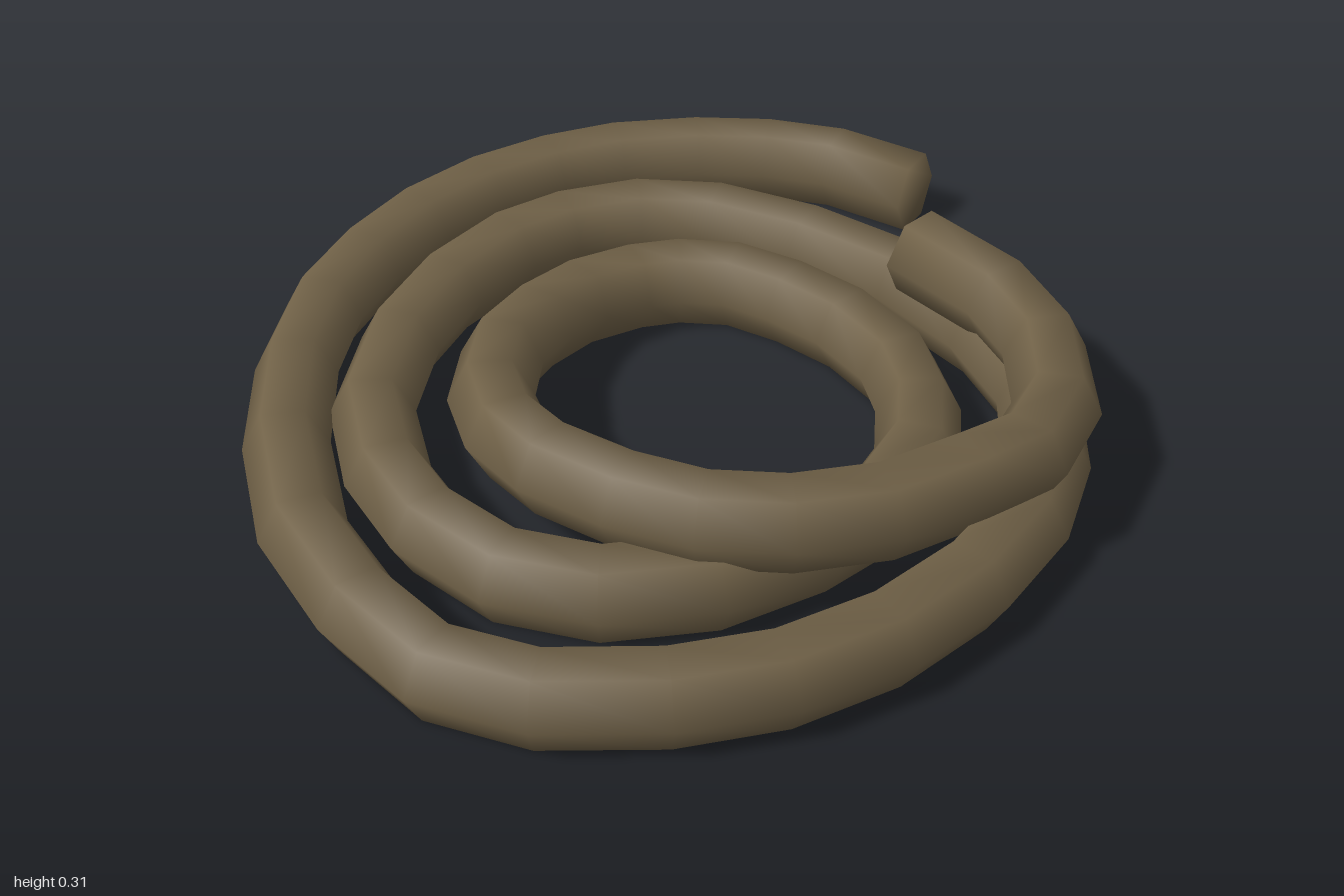
import * as THREE from 'three';

// Rope centreline seen from above (x, z), from the outer end inwards
const LOWER_PATH = [
  0.84, -0.525, 0.71, -0.70, 0.57, -0.80, 0.41, -0.87, 0.22, -0.915, 0.05, -0.915,
  -0.13, -0.88, -0.31, -0.80, -0.47, -0.68, -0.61, -0.53, -0.72, -0.33, -0.80, -0.08,
  -0.832, 0.20, -0.785, 0.46, -0.70, 0.67, -0.55, 0.80, -0.33, 0.88, -0.12, 0.908,
  0.10, 0.88, 0.31, 0.80, 0.49, 0.68, 0.625, 0.52, 0.715, 0.32, 0.715, 0.07,
  0.64, -0.18, 0.50, -0.40, 0.34, -0.565, 0.175, -0.645, 0, -0.655, -0.15, -0.62,
  -0.33, -0.51, -0.485, -0.35, -0.605, -0.13, -0.632, 0.09, -0.60, 0.28, -0.505, 0.46,
  -0.35, 0.575, -0.14, 0.62, 0.08, 0.59, 0.25, 0.53, 0.39, 0.41, 0.46, 0.27,
  0.485, 0.12, 0.445, -0.06, 0.37, -0.20, 0.28, -0.31, 0.17, -0.365, 0.07, -0.38,
];

// The last turn climbs over the coils below (x, y, z)
const UPPER_PATH = [
  -0.07, 0.097, -0.35, -0.20, 0.122, -0.26, -0.32, 0.155, -0.13, -0.395, 0.185, 0.04,
  -0.41, 0.207, 0.20, -0.37, 0.218, 0.34, -0.27, 0.22, 0.48, -0.15, 0.22, 0.59,
  0, 0.22, 0.66, 0.18, 0.22, 0.69, 0.37, 0.218, 0.66, 0.51, 0.215, 0.63,
  0.64, 0.212, 0.51, 0.715, 0.212, 0.32, 0.71, 0.218, 0.13, 0.615, 0.233, -0.09,
];

const SIDES = 6, HALF_WIDTH = 0.09, HALF_HEIGHT = 0.097, GROUND_Y = 0.086;

function ropePoints() {
  const points = [];
  for (let i = 0; i < LOWER_PATH.length; i += 2) {
    points.push(new THREE.Vector3(LOWER_PATH[i], GROUND_Y, LOWER_PATH[i + 1]));
  }
  for (let i = 0; i < UPPER_PATH.length; i += 3) {
    points.push(new THREE.Vector3().fromArray(UPPER_PATH, i));
  }
  return points;
}

// Sweep an upright hexagon along the points and close both ends
function sweepRope(points) {
  const positions = [], indices = [];
  const up = new THREE.Vector3(0, 1, 0);
  const last = points.length - 1;

  points.forEach((p, i) => {
    const tangent = points[Math.min(i + 1, last)].clone()
      .sub(points[Math.max(i - 1, 0)]).normalize();
    const side = new THREE.Vector3().crossVectors(tangent, up).normalize();
    const rise = new THREE.Vector3().crossVectors(side, tangent);
    for (let j = 0; j < SIDES; j++) {
      const a = (j / SIDES) * Math.PI * 2;
      const v = p.clone()
        .addScaledVector(side, Math.cos(a) * HALF_WIDTH)
        .addScaledVector(rise, Math.sin(a) * HALF_HEIGHT);
      positions.push(v.x, v.y, v.z);
    }
  });

  for (let i = 0; i < last; i++) {
    for (let j = 0; j < SIDES; j++) {
      const k = (j + 1) % SIDES;
      const a = i * SIDES + j, b = i * SIDES + k;
      const c = a + SIDES, d = b + SIDES;
      indices.push(a, c, b, b, c, d);
    }
  }
  // End caps
  const e = last * SIDES;
  for (let j = 1; j < SIDES - 1; j++) {
    indices.push(0, j, j + 1, e, e + j + 1, e + j);
  }

  const geometry = new THREE.BufferGeometry();
  geometry.setAttribute('position', new THREE.Float32BufferAttribute(positions, 3));
  geometry.setIndex(indices);
  geometry.computeVertexNormals();
  return geometry;
}

export function createModel() {
  const group = new THREE.Group();
  group.name = 'ropeCoil';
  const material = new THREE.MeshStandardMaterial({ color: 0x706147 });
  material.name = 'rope brown';
  const rope = new THREE.Mesh(sweepRope(ropePoints()), material);
  rope.name = 'coiledRope';
  group.add(rope);
  return group;
}
